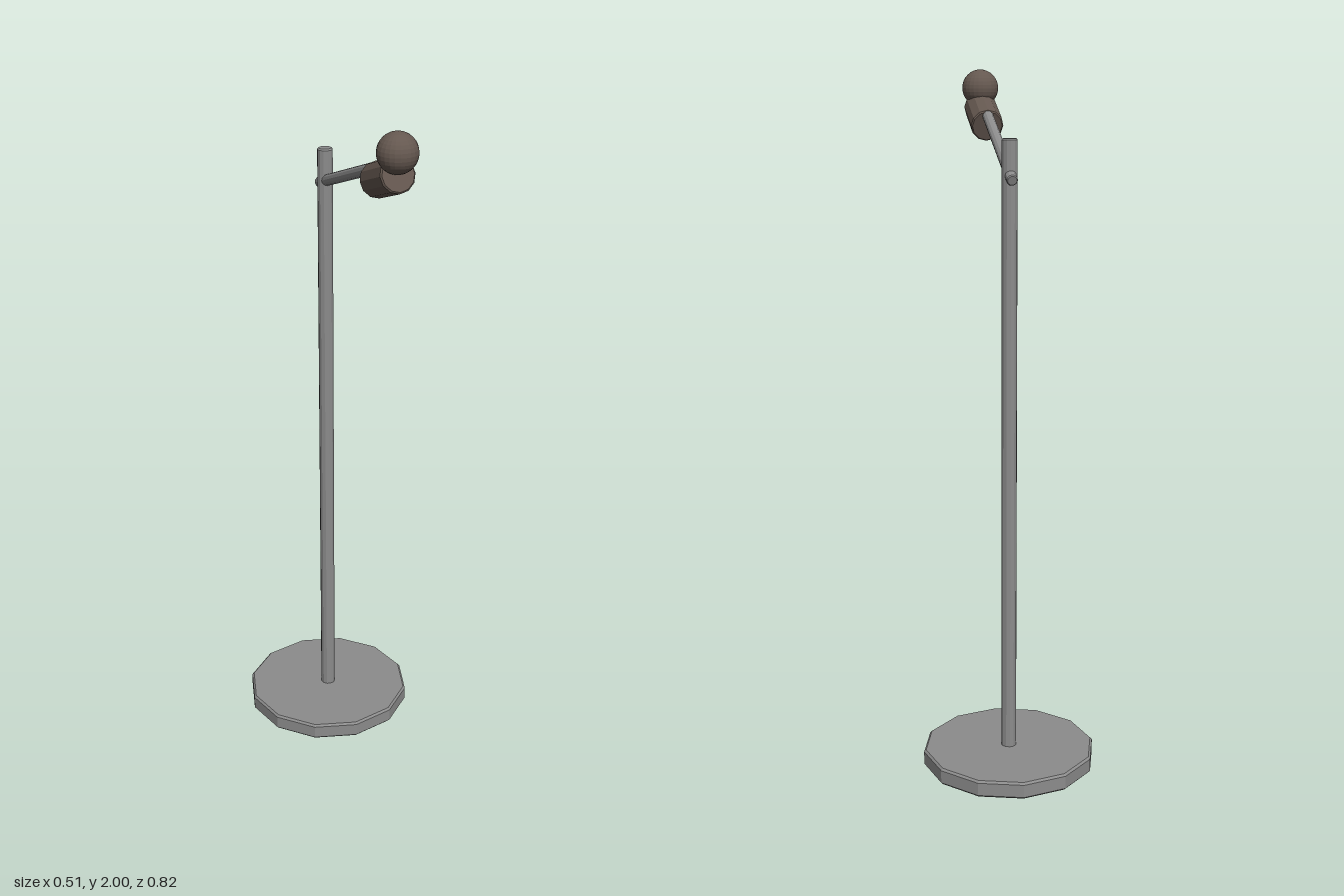
import * as THREE from 'three';

export function createModel() {
  const metal = new THREE.MeshStandardMaterial({ color: 0x8c8c8c, flatShading: true });
  metal.name = 'grey metal';
  const brown = new THREE.MeshStandardMaterial({ color: 0x655850, flatShading: true });
  brown.name = 'brown lamp';

  const lamp = new THREE.Group();
  lamp.name = 'floorLamp';

  // Rod with chamfered rims, standing on its own origin
  const rod = (name, radius, length, bevel, material, sides = 12) => {
    const profile = [
      [0, 0], [radius - bevel, 0], [radius, bevel],
      [radius, length - bevel], [radius - bevel, length], [0, length],
    ].map(([x, y]) => new THREE.Vector2(x, y));
    const mesh = new THREE.Mesh(new THREE.LatheGeometry(profile, sides), material);
    mesh.name = name;
    lamp.add(mesh);
    return mesh;
  };

  const axisZ = -0.157;
  const tilt = THREE.MathUtils.degToRad(70); // arm and socket rise 20 degrees forward

  // Weighted base and upright pole
  rod('base', 0.254, 0.05, 0.006, metal).position.set(0, 0, axisZ);
  rod('pole', 0.022, 1.8, 0.004, metal).position.set(0, 0.03, axisZ);

  // Arm passing through the pole
  const arm = rod('arm', 0.016, 0.49, 0.003, metal);
  arm.position.set(0, 1.72, -0.2);
  arm.rotation.x = tilt;

  // Bulb socket at the end of the arm
  const socket = rod('socket', 0.048, 0.15, 0.004, brown);
  socket.position.set(0, 1.841, 0.222);
  socket.rotation.x = tilt;

  // Round bulb
  const bulb = new THREE.Mesh(new THREE.SphereGeometry(0.054, 24, 16), brown);
  bulb.name = 'bulb';
  bulb.position.set(0, 1.946, 0.357);
  lamp.add(bulb);

  return lamp;
}
